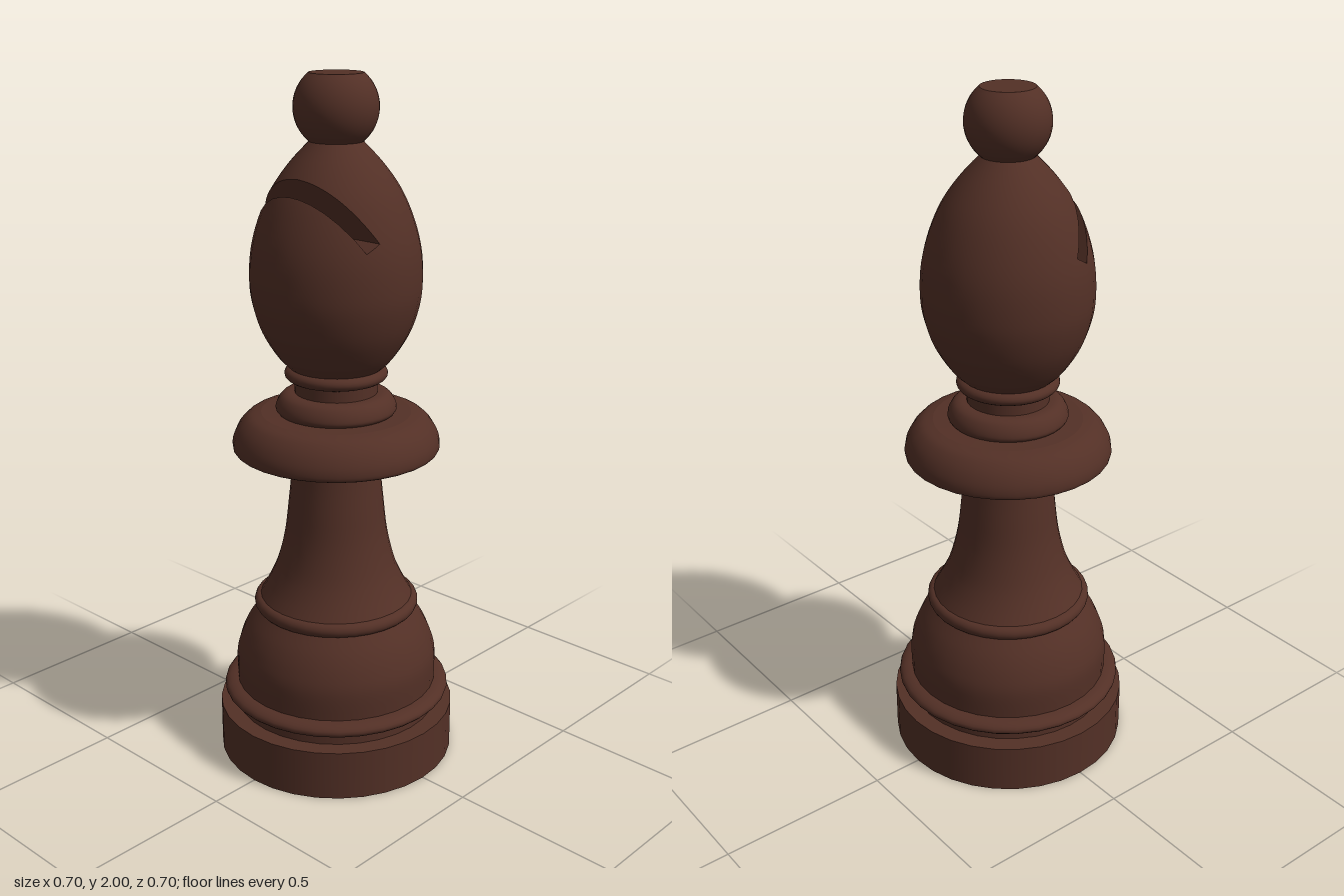
import * as THREE from 'three';
import { mergeGeometries } from 'three/addons/utils/BufferGeometryUtils.js';

const SIDES = 32;
const wood = new THREE.MeshStandardMaterial({ color: 0x533026 });
wood.name = 'dark brown wood';

const toPoints = (pairs) => pairs.map(([r, y]) => new THREE.Vector2(r, y));
const curve = (pairs, n = 20) => new THREE.SplineCurve(toPoints(pairs)).getPoints(n);

// Half-round moulding: from (r, y0) bulging out to rMax and back at y1
function bead(r, rMax, y0, y1) {
  const pts = [];
  for (let i = 0; i <= 10; i++) {
    const a = -Math.PI / 2 + (Math.PI * i) / 10;
    pts.push(new THREE.Vector2(r + (rMax - r) * Math.cos(a), (y0 + y1) / 2 + ((y1 - y0) / 2) * Math.sin(a)));
  }
  return pts;
}

// Circle arc of the finial ball
function ballArc(cy, radius, halfHeight) {
  const pts = [];
  const a0 = Math.asin(halfHeight / radius);
  for (let i = 0; i <= 16; i++) {
    const a = -a0 + (2 * a0 * i) / 16;
    pts.push(new THREE.Vector2(radius * Math.cos(a), cy + radius * Math.sin(a)));
  }
  return pts;
}

// Straight-sided profile as separate runs, so its corners stay sharp
function sharp(pairs) {
  const p = toPoints(pairs);
  return p.slice(1).map((q, i) => [p[i], q]);
}

// Each run is turned on its own; edges between runs are sharp
const turn = (runs) => mergeGeometries(runs.map((r) => new THREE.LatheGeometry(r, SIDES)));

// Head profile and its radius at a given height
const headProfile = curve([[0.125, 1.185], [0.165, 1.225], [0.21, 1.3], [0.235, 1.38], [0.241, 1.45],
  [0.235, 1.53], [0.214, 1.61], [0.179, 1.69], [0.13, 1.76], [0.072, 1.822]], 36);
function headRadius(y) {
  const i = Math.max(1, headProfile.findIndex((p) => p.y >= y));
  const a = headProfile[i - 1], b = headProfile[i];
  return a.x + ((b.x - a.x) * (y - a.y)) / (b.y - a.y);
}

// Slanted slot: direction d runs into the head, n runs across the slot
const slot = { x: -0.0815, y: 1.567, half: 0.023, dx: 0.5, dy: -0.866, nx: 0.866, ny: 0.5 };
const across = (v) => (v[0] - slot.x) * slot.nx + (v[1] - slot.y) * slot.ny;
const along = (v) => (v[0] - slot.x) * slot.dx + (v[1] - slot.y) * slot.dy;

// Part of a polygon where f >= 0
function clip(poly, f) {
  const out = [];
  poly.forEach((a, i) => {
    const b = poly[(i + 1) % poly.length];
    const fa = f(a), fb = f(b);
    if (fa >= 0) out.push(a);
    if ((fa >= 0) !== (fb >= 0)) out.push(a.map((v, k) => v + ((b[k] - v) * fa) / (fa - fb)));
  });
  return out;
}

function fromVertices(vertices) {
  const g = new THREE.BufferGeometry();
  g.setAttribute('position', new THREE.Float32BufferAttribute(vertices.flatMap((v) => v.slice(0, 3)), 3));
  g.setAttribute('normal', new THREE.Float32BufferAttribute(vertices.flatMap((v) => v.slice(3)), 3));
  return g;
}

// Turned head with the slot removed from its surface
function slottedHead() {
  const src = new THREE.LatheGeometry(headProfile, SIDES).toNonIndexed();
  const p = src.attributes.position, n = src.attributes.normal;
  const vertices = [];
  const above = (v) => across(v) - slot.half;
  const below = (v) => -across(v) - slot.half;
  for (let i = 0; i < p.count; i += 3) {
    const tri = [i, i + 1, i + 2].map((k) => [p.getX(k), p.getY(k), p.getZ(k), n.getX(k), n.getY(k), n.getZ(k)]);
    const middle = clip(clip(tri, (v) => -above(v)), (v) => -below(v));
    for (const poly of [clip(tri, above), clip(tri, below), clip(middle, along)]) {
      for (let k = 2; k < poly.length; k++) vertices.push(poly[0], poly[k - 1], poly[k]);
    }
  }
  return fromVertices(vertices);
}

// Lower wall, floor and upper wall of the slot
function slotWalls() {
  const at = (u, v) => [slot.x + u * slot.nx + v * slot.dx, slot.y + u * slot.ny + v * slot.dy];
  const w = slot.half, deep = -0.2, steps = 60;
  const vertices = [];
  const wall = (from, to, normal) => {
    const strip = [];
    for (let i = 0; i <= steps; i++) {
      const t = i / steps;
      const [x, y] = at(from[0] + (to[0] - from[0]) * t, from[1] + (to[1] - from[1]) * t);
      const z = Math.sqrt(Math.max(0, headRadius(y) ** 2 - x * x));
      strip.push([[x, y, z, ...normal], [x, y, -z, ...normal]]);
    }
    for (let i = 0; i < steps; i++) {
      const [a, d] = strip[i], [b, c] = strip[i + 1];
      if (a[2] + b[2] > 0) vertices.push(a, b, c, a, c, d);
    }
  };
  wall([-w, deep], [-w, 0], [slot.nx, slot.ny, 0]);
  wall([-w, 0], [w, 0], [-slot.dx, -slot.dy, 0]);
  wall([w, 0], [w, deep], [-slot.nx, -slot.ny, 0]);
  return fromVertices(vertices);
}

export function createModel() {
  const model = new THREE.Group();
  model.name = 'chessBishop';
  const add = (name, geometry, parent = model) => {
    const mesh = new THREE.Mesh(geometry, wood);
    mesh.name = name;
    parent.add(mesh);
  };

  // Hollow foot with a stepped recess underneath
  add('foot', turn(sharp([[0, 0.4], [0.15, 0.4], [0.24, 0.3], [0.24, 0.12], [0.293, 0.12], [0.293, 0],
    [0.35, 0], [0.35, 0.147], [0.3, 0.147], [0.3, 0.18]])));
  add('footRing', turn([bead(0.295, 0.337, 0.178, 0.222)]));
  add('lowerDome', turn([curve([[0.297, 0.22], [0.298, 0.3], [0.285, 0.355], [0.262, 0.405], [0.23, 0.452]])]));
  add('waistRing', turn([bead(0.222, 0.243, 0.45, 0.492)]));
  add('stem', turn([curve([[0.225, 0.49], [0.197, 0.54], [0.172, 0.6], [0.15, 0.69], [0.138, 0.79], [0.13, 0.87], [0.125, 0.95]])]));

  // Wide collar with a flat underside and rounded top
  add('collar', turn([
    ...sharp([[0.12, 0.945], [0.285, 0.945]]),
    curve([[0.285, 0.945], [0.297, 0.955], [0.295, 0.985], [0.278, 1.02], [0.25, 1.047], [0.215, 1.058]]),
    ...sharp([[0.215, 1.058], [0.15, 1.06]]),
  ]));
  add('collarStep', turn([curve([[0.165, 1.058], [0.173, 1.07], [0.168, 1.09], [0.155, 1.108], [0.138, 1.116], [0.117, 1.117]])]));
  add('neck', turn(sharp([[0.118, 1.11], [0.118, 1.16]])));
  add('neckRing', turn([bead(0.118, 0.147, 1.152, 1.193)]));

  // Head with its slanted slot
  const head = new THREE.Group();
  head.name = 'head';
  model.add(head);
  add('headShell', slottedHead(), head);
  add('slotWalls', slotWalls(), head);

  // Ball finial with a flat top
  add('finial', turn([ballArc(1.91, 0.117, 0.09), ...sharp([[0.0748, 2], [0, 2]])]));
  return model;
}
